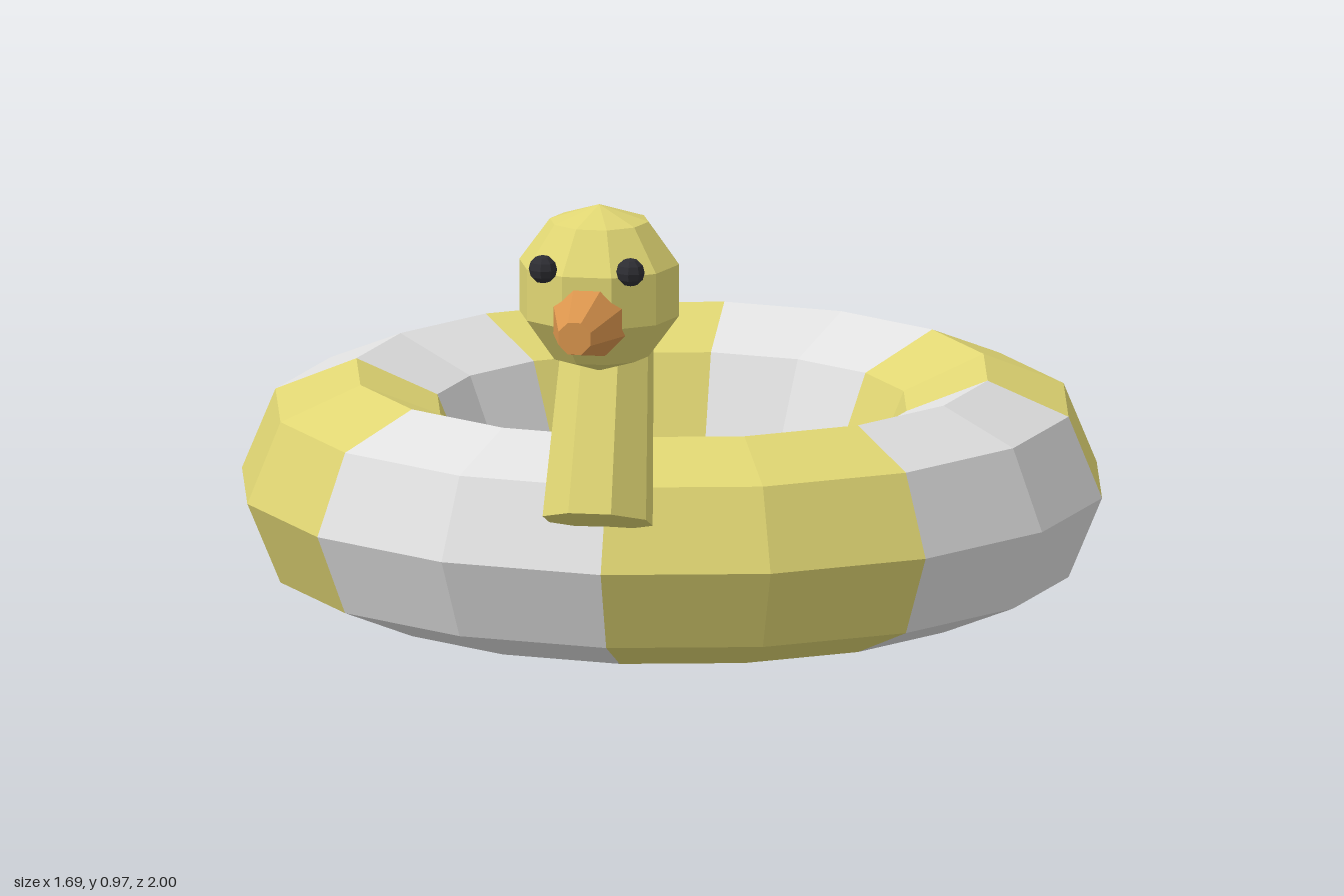
import * as THREE from 'three';

const flat = (name, color) => {
  const m = new THREE.MeshStandardMaterial({ color, flatShading: true });
  m.name = name;
  return m;
};

export function createModel() {
  const yellow = flat('yellow', 0xe0d673);
  const white = flat('white', 0xe0e0e0);
  const orange = flat('orange', 0xdc964e);
  const black = flat('black', 0x2e2e33);

  const model = new THREE.Group();
  model.name = 'swimRing';
  const add = (parent, name, geometry, material, x = 0, y = 0, z = 0) => {
    const mesh = new THREE.Mesh(geometry, material);
    mesh.name = name;
    mesh.position.set(x, y, z);
    parent.add(mesh);
    return mesh;
  };

  // Inflated ring: eight panels in alternating colours
  const ring = new THREE.Group();
  ring.name = 'ring';
  ring.position.set(0, 0.225, -0.155);
  model.add(ring);
  const panel = new THREE.TorusGeometry(0.62, 0.225, 8, 2, Math.PI / 4).rotateX(Math.PI / 2);
  for (let i = 0; i < 8; i++) {
    add(ring, 'ringPanel' + (i + 1), panel, i % 2 ? yellow : white).rotation.y = -i * Math.PI / 4;
  }

  // Neck: tapered octagon leaning back, a flat side to the front
  const neck = new THREE.CylinderGeometry(0.09, 0.11, 0.383, 8)
    .rotateY(Math.PI / 8).rotateX(-0.35);
  add(model, 'neck', neck, yellow, 0, 0.52, 0.66);

  // Head
  add(model, 'head', new THREE.SphereGeometry(0.165, 10, 5), yellow, 0, 0.8, 0.707);

  // Beak: blunt cone pointing forward
  const beak = new THREE.CylinderGeometry(0.034, 0.078, 0.18, 8)
    .rotateY(Math.PI / 8).rotateX(Math.PI / 2);
  add(model, 'beak', beak, orange, 0, 0.761, 0.91);

  // Eyes
  const eye = new THREE.SphereGeometry(0.028, 8, 6);
  for (const [name, side] of [['leftEye', 1], ['rightEye', -1]]) {
    add(model, name, eye, black, side * 0.086, 0.865, 0.855);
  }

  return model;
}
